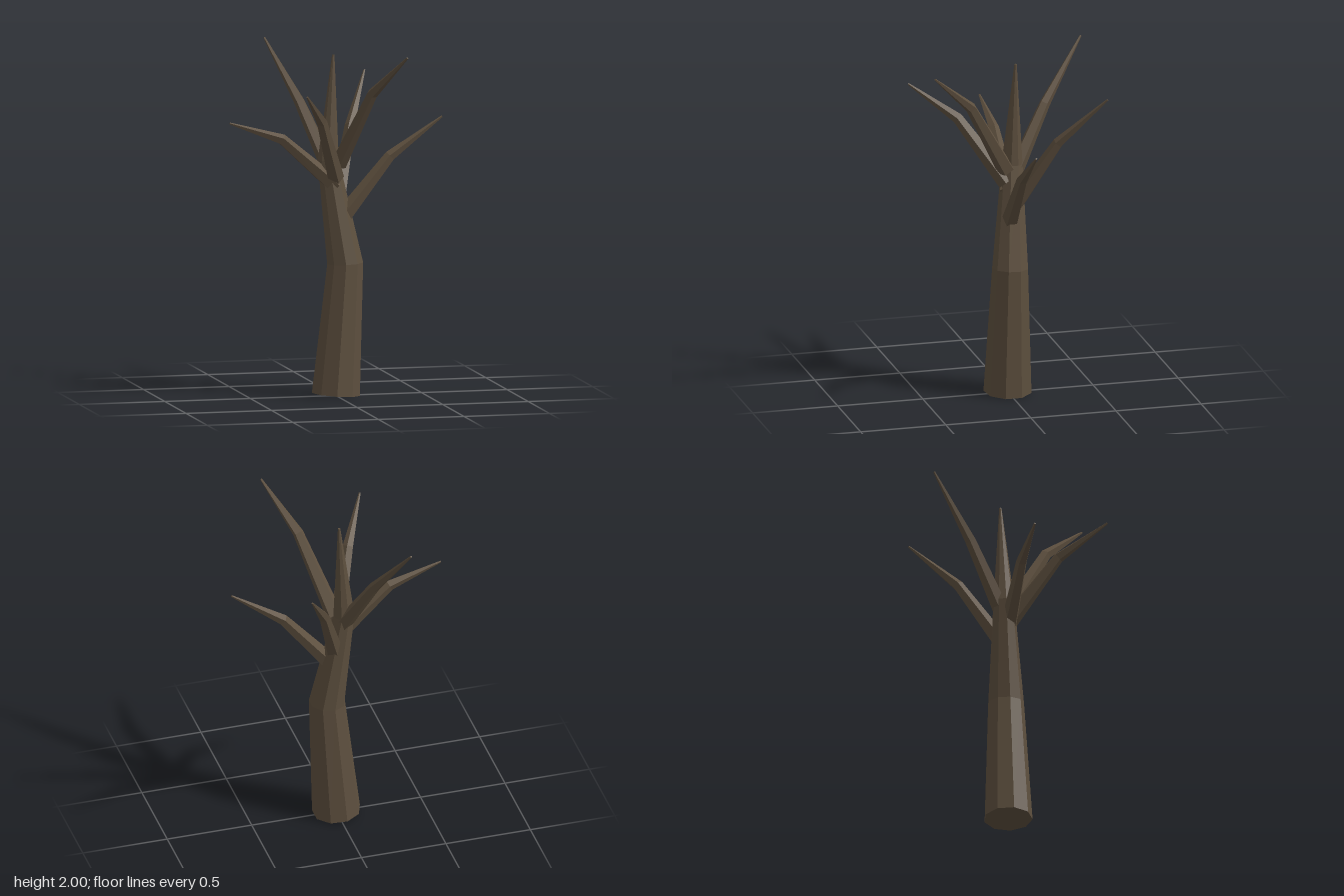
import * as THREE from 'three';

const bark = new THREE.MeshStandardMaterial({ color: 0x5d4f3e, flatShading: true });
bark.name = 'bark';

// Tapered faceted limb: rings of [x, y, z, radius], one corner of each ring pointing towards `ref`
function limb(name, nodes, sides, ref) {
  const centres = nodes.map(([x, y, z]) => new THREE.Vector3(x, y, z));
  const last = nodes.length - 1;
  const dirs = centres.slice(1).map((c, i) => c.clone().sub(centres[i]).normalize());
  const rings = centres.map((c, i) => {
    const t = dirs[Math.max(i - 1, 0)].clone().add(dirs[Math.min(i, last - 1)]).normalize();
    const u = ref.clone().addScaledVector(t, -ref.dot(t)).normalize();
    const v = t.clone().cross(u);
    return Array.from({ length: sides }, (_, k) => {
      const a = (k / sides) * Math.PI * 2;
      return c.clone()
        .addScaledVector(u, Math.cos(a) * nodes[i][3])
        .addScaledVector(v, Math.sin(a) * nodes[i][3]);
    });
  });

  const points = [];
  for (let k = 0; k < sides; k++) {
    const n = (k + 1) % sides;
    for (let i = 0; i < last; i++) {
      const [a, b, c, d] = [rings[i][k], rings[i][n], rings[i + 1][n], rings[i + 1][k]];
      points.push(a, b, c, a, c, d);
    }
    // end caps
    points.push(centres[0], rings[0][n], rings[0][k]);
    points.push(centres[last], rings[last][k], rings[last][n]);
  }
  const geometry = new THREE.BufferGeometry().setFromPoints(points);
  geometry.computeVertexNormals();
  const mesh = new THREE.Mesh(geometry, bark);
  mesh.name = name;
  return mesh;
}

export function createModel() {
  const tree = new THREE.Group();
  tree.name = 'bareTree';

  // Crooked trunk ending in a spike
  tree.add(limb('trunk', [
    [-0.002, 0.013, 0, 0.139],
    [0.053, 0.76, 0, 0.104],
    [-0.037, 1.35, -0.035, 0.061],
    [-0.004, 1.95, -0.046, 0.007],
  ], 9, new THREE.Vector3(-1, 0, 0)));

  // Six branches, 60 degrees apart: angle, base offset, heights of base, elbow and tip
  const branches = [
    ['leftBranch', 0, 0.042, 1.03, 1.365, 1.582],
    ['frontLeftBranch', 60, 0.015, 1.33, 1.76, 1.995],
    ['frontRightBranch', 120, 0.01, 1.25, 1.61, 1.79],
    ['rightBranch', 180, 0, 1.2, 1.48, 1.582],
    ['backRightBranch', 240, 0.02, 1.25, 1.655, 1.995],
    ['backLeftBranch', 300, 0.035, 1.11, 1.51, 1.79],
  ];
  for (const [name, degrees, offset, yBase, yElbow, yTip] of branches) {
    const a = THREE.MathUtils.degToRad(degrees);
    const node = (r, y, radius) => [Math.cos(a) * r, y, Math.sin(a) * r, radius];
    const elbow = degrees % 180 === 0 ? 0.315 : 0.295;
    tree.add(limb(name, [
      node(offset, yBase, 0.05),
      node(elbow, yElbow, 0.032),
      node(degrees % 180 === 0 ? 0.62 : 0.585, yTip, 0.006),
    ], 5, new THREE.Vector3(0, 1, 0)));
  }
  return tree;
}
